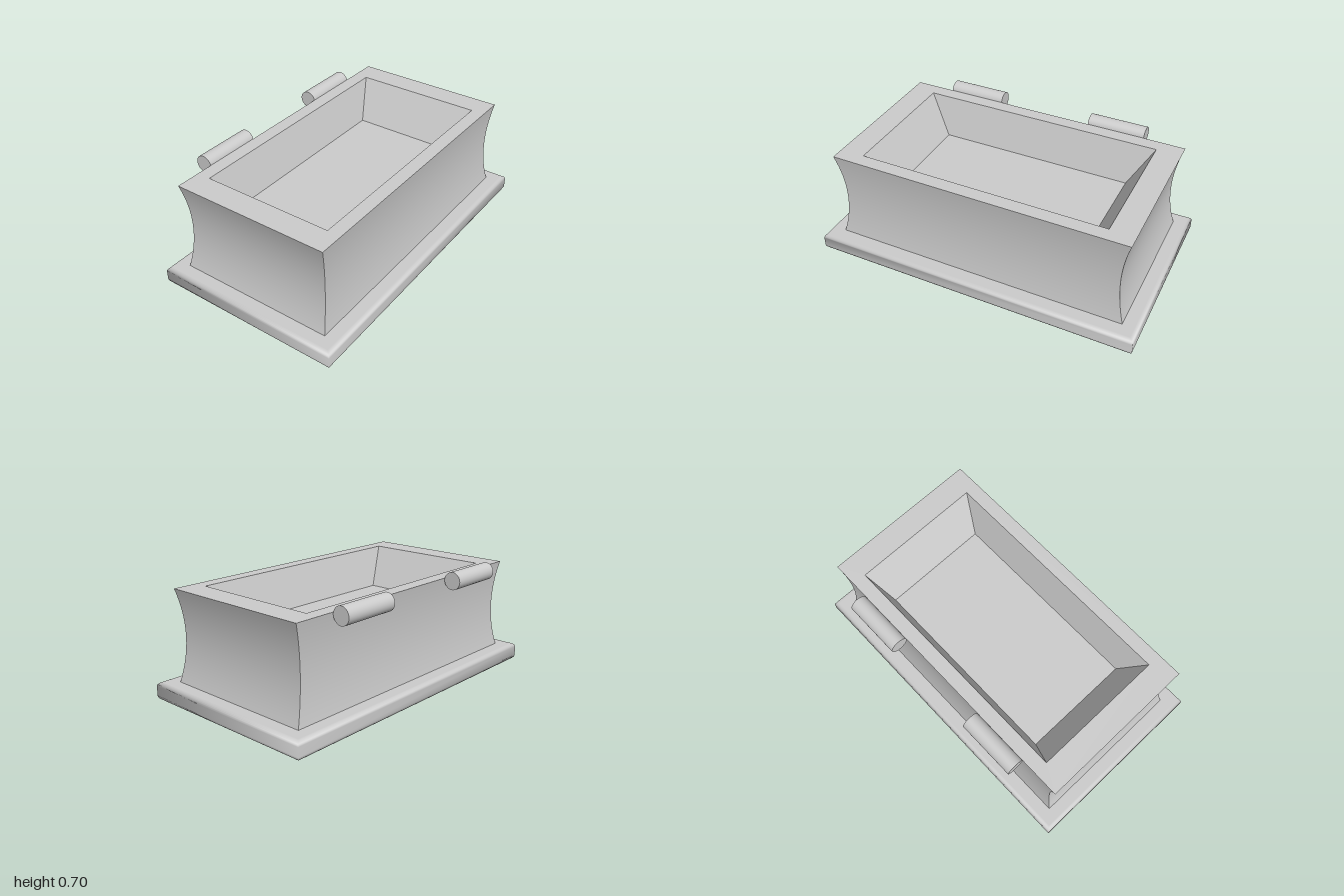
import * as THREE from 'three';
import { toCreasedNormals } from 'three/addons/utils/BufferGeometryUtils.js';

// Skins a stack of rectangular rings [halfX, y, halfZ] and caps both ends.
function loftRectangles(rings) {
  const positions = [];
  const index = [];
  for (const [x, y, z] of rings) positions.push(x, y, z, x, y, -z, -x, y, -z, -x, y, z);
  for (let r = 0; r < rings.length - 1; r++) {
    for (let i = 0; i < 4; i++) {
      const a = r * 4 + i;
      const b = r * 4 + (i + 1) % 4;
      index.push(a, b, b + 4, a, b + 4, a + 4);
    }
  }
  const t = (rings.length - 1) * 4;
  index.push(0, 2, 1, 0, 3, 2, t, t + 1, t + 2, t, t + 2, t + 3);
  const geometry = new THREE.BufferGeometry();
  geometry.setAttribute('position', new THREE.Float32BufferAttribute(positions, 3));
  geometry.setIndex(index);
  geometry.computeVertexNormals();
  return geometry;
}

export function createModel() {
  const group = new THREE.Group();
  const material = new THREE.MeshStandardMaterial({ color: 0xcccccc });
  const add = (name, geometry, x, y, z) => {
    const mesh = new THREE.Mesh(geometry, material);
    mesh.name = name;
    mesh.position.set(x, y, z);
    group.add(mesh);
    return mesh;
  };

  // Base slab: rounded rim, square corners in plan, softly shaded
  const baseHeight = 0.108, radius = 0.026, steps = 6;
  const baseRings = [];
  for (const top of [false, true]) {
    for (let i = 0; i <= steps; i++) {
      const angle = (top ? i : i - steps) / steps * Math.PI / 2;
      const inset = radius * (1 - Math.cos(angle));
      const y = (top ? baseHeight - radius : radius) + radius * Math.sin(angle);
      baseRings.push([1 - inset, y, 0.58 - inset]);
    }
  }
  add('base', loftRectangles(baseRings), 0, 0, 0.006);

  // Body: waisted walls, flat rim, then a tapering open cavity
  const bodyTop = 0.661, segments = 24;
  const bodyRings = [];
  for (let i = 0; i <= segments; i++) {
    const t = i / segments;
    const scale = 1 - 0.0475 * 4 * t * (1 - t);
    bodyRings.push([0.905 * scale, baseHeight + (bodyTop - baseHeight) * t, 0.484 * scale]);
  }
  bodyRings.push([0.754, bodyTop, 0.4], [0.612, 0.418, 0.329]);
  add('body', toCreasedNormals(loftRectangles(bodyRings), 0.5), 0, 0, 0.005);

  // Hinge barrels along the back rim
  const barrel = new THREE.CylinderGeometry(0.053, 0.053, 0.357, 40);
  barrel.rotateZ(Math.PI / 2);
  add('leftHinge', barrel, 0.47, 0.65, -0.531);
  add('rightHinge', barrel, -0.478, 0.65, -0.531);

  return group;
}
